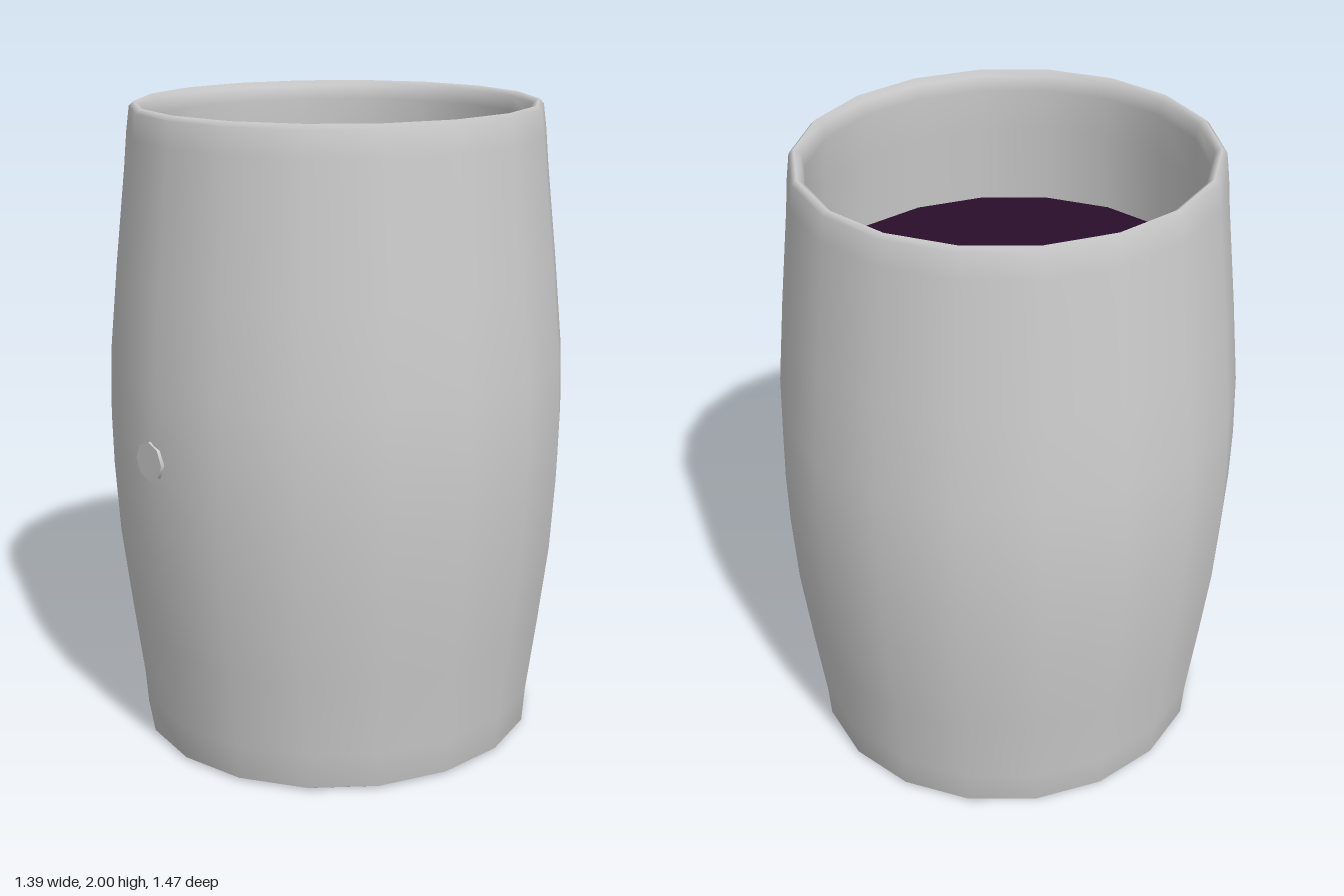
import * as THREE from 'three';

const SIDES = 18;
const DEPTH = 1.035; // the barrel is slightly deeper than wide

export function createModel() {
  const group = new THREE.Group();
  const shellGrey = new THREE.MeshStandardMaterial({ color: 0xcccccc });
  const liquidPurple = new THREE.MeshStandardMaterial({ color: 0x2a0e2a });

  const add = (name, geometry, material) => {
    const mesh = new THREE.Mesh(geometry, material);
    mesh.name = name;
    group.add(mesh);
    return mesh;
  };
  const lathe = (points) => {
    const g = new THREE.LatheGeometry(points.map(([r, y]) => new THREE.Vector2(r, y)), SIDES);
    return g.scale(1, 1, DEPTH);
  };
  // Horizontal disc facing up or down
  const disc = (radius, y, up) => new THREE.CircleGeometry(radius, SIDES)
    .rotateX(up ? -Math.PI / 2 : Math.PI / 2)
    .rotateY(Math.PI / 2)
    .scale(1, 1, DEPTH)
    .translate(0, y, 0);

  // Bulging wall: foot, outside, rounded rim, then down the inside
  add('barrelWall', lathe([
    [0.585, 0.06], [0.59, 0.015], [0.605, 0], [0.622, 0.01], [0.63, 0.12],
    [0.66, 0.36], [0.69, 0.62], [0.703, 0.85], [0.706, 1.02], [0.7, 1.22],
    [0.673, 1.5], [0.64, 1.8], [0.63, 1.91], [0.62, 1.985], [0.605, 2],
    [0.585, 1.985], [0.578, 1.94], [0.59, 1.8], [0.615, 1.5],
  ]), shellGrey);

  // Slightly recessed underside
  add('barrelBottom', disc(0.59, 0.04, false), shellGrey);

  // Surface of the liquid
  add('liquid', disc(0.612, 1.55, true), liquidPurple);

  // Small round plug on the front
  const plug = add('plug', new THREE.CylinderGeometry(0.06, 0.06, 0.06, 8), shellGrey);
  plug.rotation.x = Math.PI / 2;
  plug.position.set(-0.02, 1, 0.706);

  return group;
}
